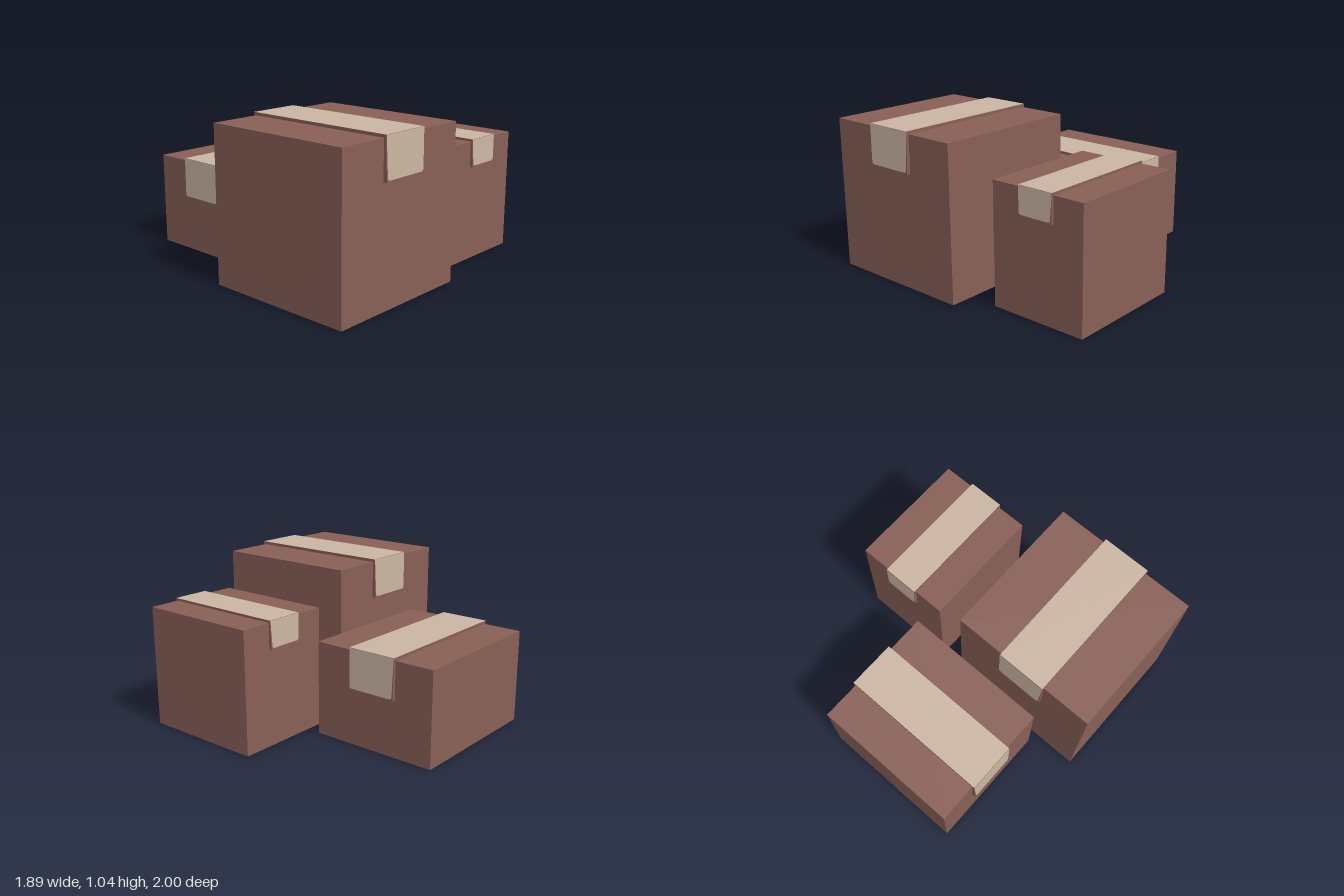
import * as THREE from 'three';

const cardboard = new THREE.MeshStandardMaterial({ color: 0x885f56 });
cardboard.name = 'cardboard brown';
const tapeTan = new THREE.MeshStandardMaterial({ color: 0xcab5a2 });
tapeTan.name = 'tape tan';

function add(group, name, geometry, material) {
  const mesh = new THREE.Mesh(geometry, material);
  mesh.name = name;
  group.add(mesh);
  return mesh;
}

// A carton with a strip of tape running along its z axis and over both ends
function carton(name, { w, h, l, tapeW, thick, out, flare, drop }) {
  const group = new THREE.Group();
  group.name = name;
  add(group, 'box', new THREE.BoxGeometry(w, h, l).translate(0, h / 2, 0), cardboard);

  // Tape body: a U-shaped section with slightly flared flaps
  const top = h + thick, e = l / 2 + out, f = e + flare, i = l / 2 - 0.005;
  const section = new THREE.Shape([
    [-f, drop], [-i, drop], [-i, h - 0.005], [i, h - 0.005],
    [i, drop], [f, drop], [e, top], [-e, top],
  ].map(([x, y]) => new THREE.Vector2(x, y)));
  const body = new THREE.ExtrudeGeometry(section, { depth: tapeW, bevelEnabled: false });
  body.translate(0, 0, -tapeW / 2).rotateY(-Math.PI / 2);
  add(group, 'tapeEdge', body, cardboard);

  // Pale tape faces: one on top and one on each flap
  const face = new THREE.PlaneGeometry(tapeW, 2 * e).rotateX(-Math.PI / 2);
  add(group, 'tapeTop', face.translate(0, top + 0.001, 0), tapeTan);

  const r = tapeW / 2, s = r - 0.008, low = drop + 0.01, c = 0.015;
  const flapShape = new THREE.Shape([
    [-s + c, low], [s - c, low], [s - 0.004, low + 0.004], [s, low + c], [r, top],
    [-r, top], [-s, low + c], [-s + 0.004, low + 0.004],
  ].map(([x, y]) => new THREE.Vector2(x, y)));
  for (const end of [0, 1]) {
    const flap = new THREE.ShapeGeometry(flapShape);
    const p = flap.attributes.position;
    for (let k = 0; k < p.count; k++) {
      p.setZ(k, e + 0.002 + flare * (top - p.getY(k)) / (top - drop));
    }
    flap.rotateY(end * Math.PI);
    flap.computeVertexNormals();
    add(group, end ? 'tapeFlapBack' : 'tapeFlapFront', flap, tapeTan);
  }
  return group;
}

export function createModel() {
  const model = new THREE.Group();
  model.name = 'cartons';

  const large = carton('largeCarton', {
    w: 1.02, h: 1.02, l: 1.02, tapeW: 0.338, thick: 0.019, out: 0.016, flare: 0.008, drop: 0.77 });
  large.position.set(-0.44, 0, 0.46);

  const small = carton('smallCarton', {
    w: 0.674, h: 0.808, l: 0.84, tapeW: 0.25, thick: 0.015, out: 0.013, flare: 0.006, drop: 0.638 });
  small.position.set(0.608, 0, 0.39);

  const low = carton('lowCarton', {
    w: 0.872, h: 0.627, l: 1.02, tapeW: 0.338, thick: 0.019, out: 0.016, flare: 0.008, drop: 0.375 });
  low.rotation.y = Math.PI / 2;
  low.position.set(-0.12, 0, -0.564);

  model.add(large, small, low);
  return model;
}
